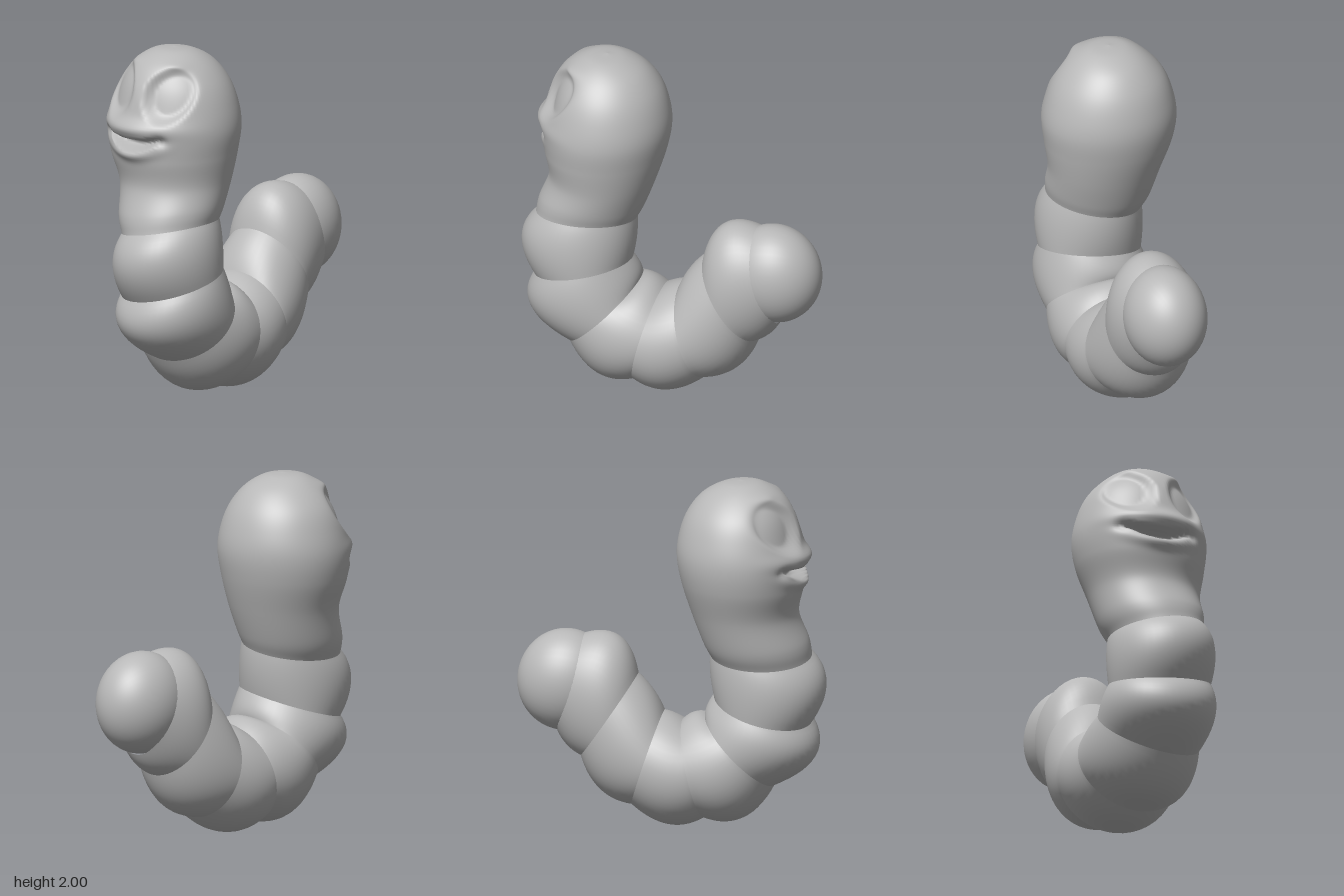
import * as THREE from 'three';

// Ring: [front z, front y, back z, back y, centre x, half width, sideways tilt]
const CREASES = [
  [0.80, 0.99, 0.23, 1.00, 0.04, 0.265, 0.18],
  [0.80, 0.61, 0.25, 0.75, 0.06, 0.29, 0.15],
  [0.59, 0.24, 0.20, 0.63, 0.06, 0.305, 0],
  [0.20, 0.045, 0.07, 0.595, 0.065, 0.31, 0],
  [-0.21, 0.11, -0.035, 0.64, 0.065, 0.295, 0],
  [-0.50, 0.38, -0.18, 0.85, 0.07, 0.255, 0],
  [-0.63, 0.51, -0.51, 1.06, 0.08, 0.215, 0],
];
const BULGES = [
  [0.88, 0.82, 0.23, 0.88, 0.05, 0.297, 0.16],
  [0.82, 0.41, 0.21, 0.685, 0.06, 0.32, 0.06],
  [0.42, 0.05, 0.135, 0.635, 0.065, 0.325, 0],
  [0.00, 0.00, 0.015, 0.625, 0.065, 0.32, 0],
  [-0.39, 0.19, -0.095, 0.755, 0.065, 0.285, 0],
  [-0.575, 0.43, -0.29, 1.06, 0.075, 0.255, 0],
];
const HEAD = [
  [0.41, 2.00, 0.41, 2.00, -0.01, 0, 0],
  [0.53, 1.985, 0.30, 1.98, -0.01, 0.12, 0],
  [0.64, 1.92, 0.19, 1.92, -0.01, 0.22, 0],
  [0.71, 1.82, 0.11, 1.82, -0.013, 0.305, 0],
  [0.75, 1.70, 0.065, 1.70, -0.012, 0.355, 0],
  [0.775, 1.55, 0.05, 1.57, -0.011, 0.38, 0],
  [0.76, 1.40, 0.075, 1.42, -0.008, 0.362, 0],
  [0.73, 1.24, 0.13, 1.24, 0.01, 0.318, 0.03],
  [0.785, 1.08, 0.19, 1.08, 0.025, 0.293, 0.12],
  CREASES[0],
];

// Skin elliptical rings; "sculpt" may move each point
function skin(rings, sides, sculpt) {
  const pos = [], index = [];
  for (const [zo, yo, zi, yi, cx, rx, tilt] of rings) {
    for (let j = 0; j < sides; j++) {
      const a = (j / sides) * Math.PI * 2, c = Math.cos(a) * rx, s = Math.sin(a) / 2;
      const p = new THREE.Vector3(cx + c, (yo + yi) / 2 + (yo - yi) * s + tilt * c, (zo + zi) / 2 + (zo - zi) * s);
      if (sculpt) sculpt(p);
      pos.push(p.x, p.y, p.z);
    }
  }
  for (let i = 0; i < rings.length - 1; i++) {
    for (let j = 0; j < sides; j++) {
      const k = (j + 1) % sides, a = i * sides + j, b = i * sides + k;
      index.push(a, b, a + sides, b, b + sides, a + sides);
    }
  }
  const g = new THREE.BufferGeometry();
  g.setAttribute('position', new THREE.Float32BufferAttribute(pos, 3));
  g.setIndex(index);
  g.computeVertexNormals();
  return g;
}

// Quadratic through crease, bulge and crease
function segmentRings(a, m, b, steps = 14) {
  return Array.from({ length: steps + 1 }, (_, i) => {
    const t = i / steps;
    return a.map((v, k) => v * (1 - t) * (1 - 2 * t) + m[k] * 4 * t * (1 - t) + b[k] * t * (2 * t - 1));
  });
}

// Smooth curve through all rings
function splineRings(keys, steps) {
  const curve = (...ks) => new THREE.CatmullRomCurve3(
    keys.map(r => new THREE.Vector3(...ks.map(k => r[k]))), false, 'catmullrom', 0.5);
  const front = curve(0, 1, 6), back = curve(2, 3, 6), side = curve(4, 5, 6);
  return Array.from({ length: steps + 1 }, (_, i) => {
    const t = i / steps, f = front.getPoint(t), b = back.getPoint(t), s = side.getPoint(t);
    return [f.x, f.y, b.x, b.y, s.x, Math.max(0, s.y), f.z];
  });
}

const blob = (x, y, cx, cy, w, h) => Math.exp(-(((x - cx) / w) ** 2) - ((y - cy) / h) ** 2);

// Press the face into the front of the head
function sculptFace(p) {
  const { x, y } = p;
  const front = THREE.MathUtils.smoothstep(p.z, 0.44, 0.6);
  if (front === 0) return;
  let d = 0;
  // eye sockets with brows above
  for (const ex of [-0.20, 0.14]) {
    const r = Math.hypot((x - ex) / 0.13, (y - 1.77) / 0.15);
    d -= 0.05 * (1 - THREE.MathUtils.smoothstep(r, 0.65, 1.1));
    d += 0.025 * blob(x, y, ex + 0.01, 1.94, 0.07, 0.025);
  }
  // cheek ridge and lips
  const u = x + 0.06;
  d += 0.035 * blob(x, y, -0.06, 1.585, 0.27, 0.045);
  d += 0.025 * blob(x, y, -0.06, 1.43 + u * u, 0.16, 0.03);
  // smiling mouth, tapering to the corners
  const w = Math.max(0, 1 - (u / 0.19) ** 2);
  const my = 1.49 + 1.3 * u * u;
  if (w > 0) d -= 0.09 * Math.sqrt(w) * Math.exp(-(((y - my) / (0.012 + 0.016 * w)) ** 4));
  // corner dimples
  for (const s of [-1, 1]) d -= 0.025 * blob(x, y, -0.06 + s * 0.2, 1.53, 0.035, 0.03);
  p.z += d * front;
}

export function createModel() {
  const group = new THREE.Group();
  const grey = new THREE.MeshStandardMaterial({ color: 0xb8b8b8 });
  grey.name = 'plain grey';
  const add = (geometry, name) => {
    const mesh = new THREE.Mesh(geometry, grey);
    mesh.name = name;
    group.add(mesh);
    return mesh;
  };

  add(skin(splineRings(HEAD, 117), 112, sculptFace), 'head');
  BULGES.forEach((m, i) =>
    add(skin(segmentRings(CREASES[i], m, CREASES[i + 1]), 48), 'bodySegment' + (i + 1)));

  // Rounded tail end, pole facing back
  const tail = add(new THREE.SphereGeometry(1, 40, 24, 0, Math.PI * 2, 0, Math.PI * 0.6), 'tailEnd');
  tail.geometry.rotateX(-Math.PI / 2).scale(0.233, 0.288, 0.27).rotateX(0.15);
  tail.position.set(0.08, 0.803, -0.588);
  return group;
}
